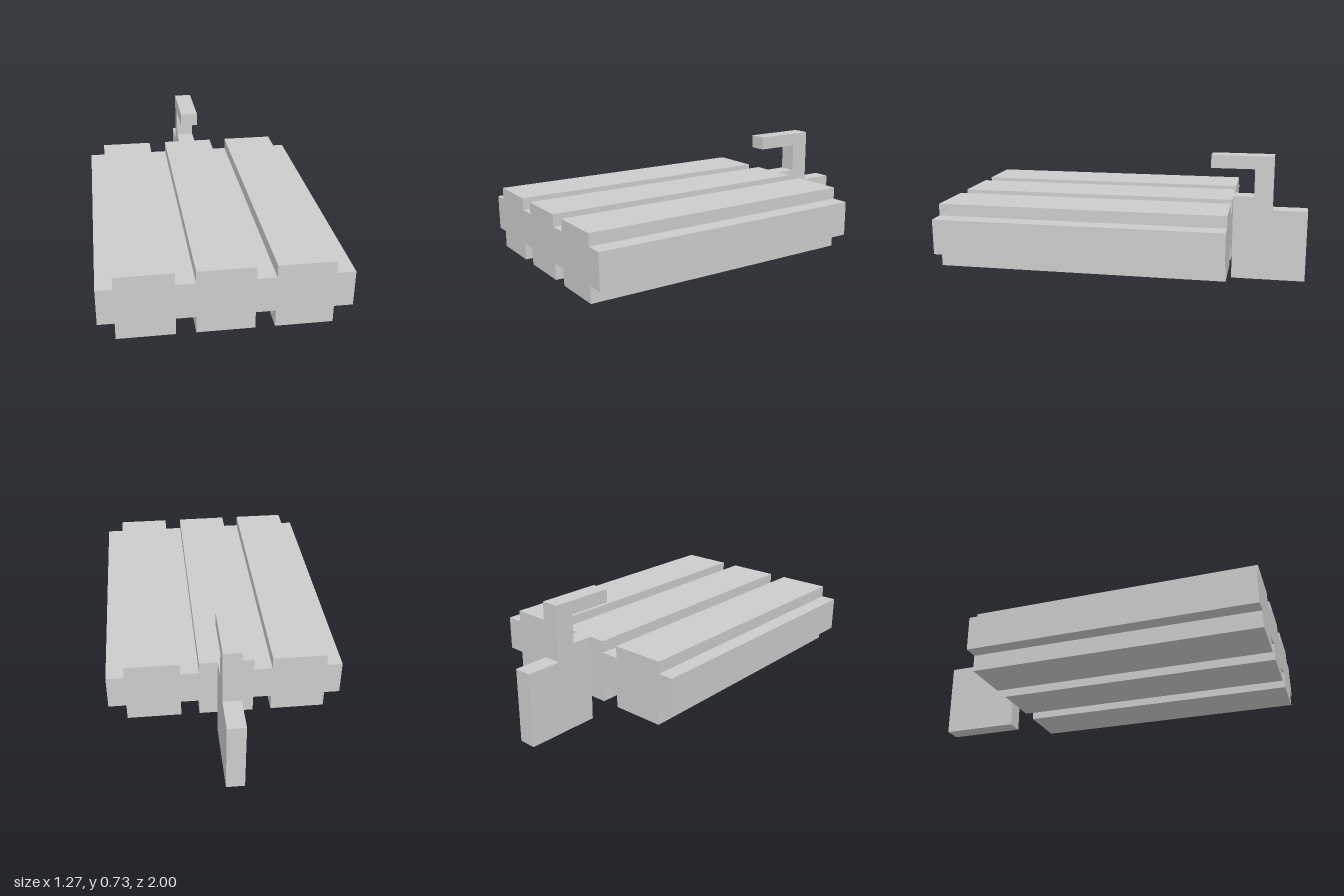
import * as THREE from 'three';

const material = new THREE.MeshStandardMaterial({ color: 0xcccccc, flatShading: true });

// Extrudes a 2D outline along +z without bevels
function extrude(points, depth) {
  const shape = new THREE.Shape(points.map(([x, y]) => new THREE.Vector2(x, y)));
  return new THREE.ExtrudeGeometry(shape, { depth, bevelEnabled: false });
}

function part(name, geometry) {
  const mesh = new THREE.Mesh(geometry, material);
  mesh.name = name;
  return mesh;
}

export function createModel() {
  const group = new THREE.Group();
  group.name = 'ribbedSlabWithHook';

  // Slab: one cross-section with three ribs above and below, swept from back to front
  const left = -0.635, right = 0.632;
  const ribs = [[-0.55, -0.255], [-0.155, 0.14], [0.24, 0.535]];
  const edge = (core, rib) => [
    [left, core],
    ...ribs.flatMap(([a, b]) => [[a, core], [a, rib], [b, rib], [b, core]]),
    [right, core],
  ];
  const outline = [...edge(0.23, 0.138), ...edge(0.424, 0.49).reverse()];
  const backZ = -0.577;
  const slab = extrude(outline, 1 - backZ);
  slab.translate(0, 0, backZ);
  group.add(part('ribbedSlab', slab));

  // Rear fin with a forward-pointing hook, drawn as (z, y) and turned to face sideways
  const hook = extrude([
    [backZ, 0], [backZ, 0.49], [-0.695, 0.49], [-0.695, 0.65], [-0.445, 0.65],
    [-0.445, 0.725], [-0.803, 0.725], [-0.803, 0.415], [-1, 0.415], [-1, 0],
  ], 0.1);
  hook.rotateY(-Math.PI / 2);
  hook.translate(0.04, 0, 0);
  group.add(part('rearHook', hook));

  return group;
}
